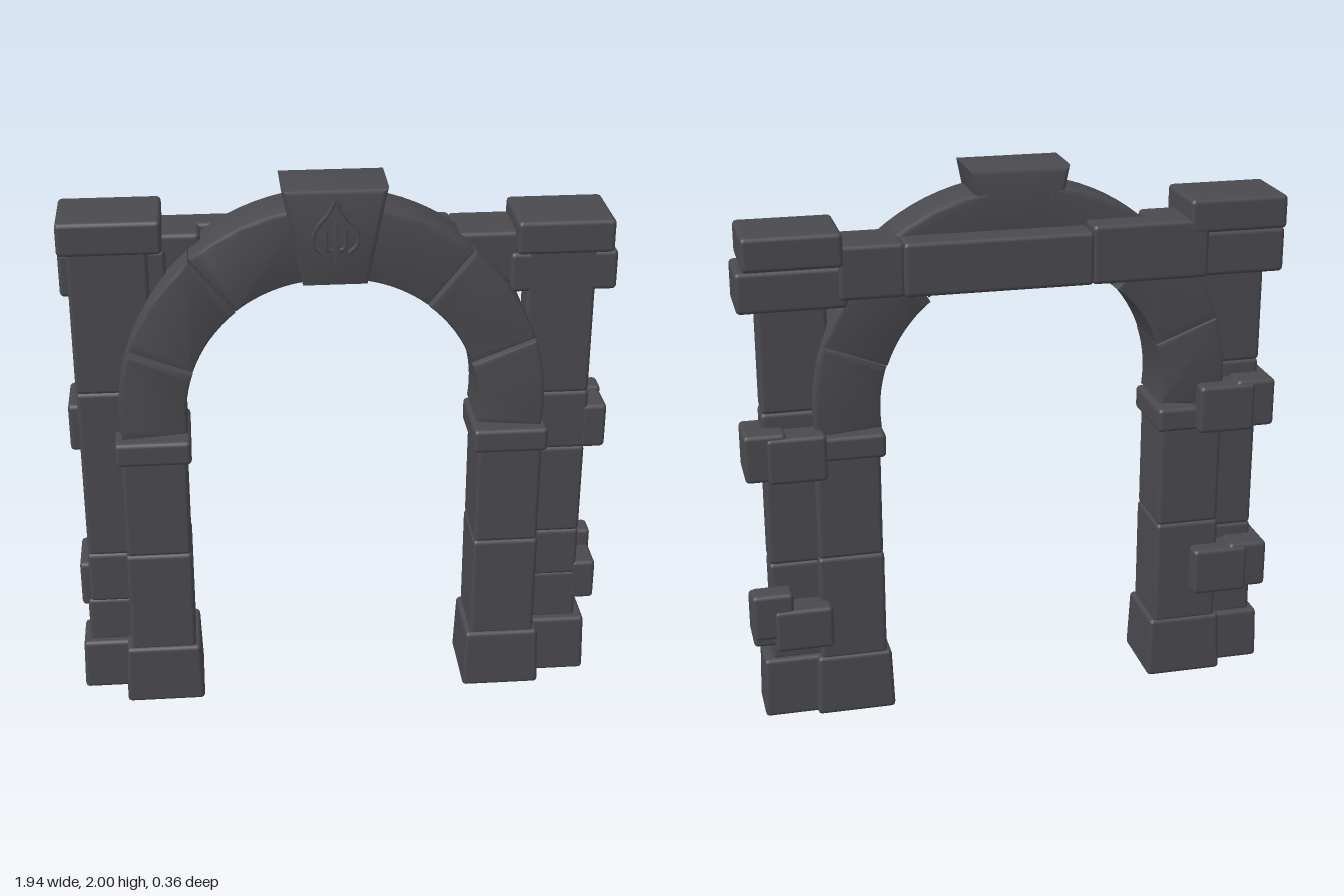
import * as THREE from 'three';
import { RoundedBoxGeometry } from 'three/addons/geometries/RoundedBoxGeometry.js';
import { toCreasedNormals } from 'three/addons/utils/BufferGeometryUtils.js';

export function createModel() {
  const model = new THREE.Group();
  model.name = 'stoneArchway';
  const stone = new THREE.MeshStandardMaterial({ color: 0x4a494e });
  stone.name = 'darkStone';

  function add(name, geometry) {
    const mesh = new THREE.Mesh(geometry, stone);
    mesh.name = name;
    model.add(mesh);
    return mesh;
  }

  // Soft-edged block given by its limits; flare widens the foot
  function block(name, x0, x1, y0, y1, z0, z1, flare = 0, r = 0.016) {
    const w = x1 - x0, h = y1 - y0, d = z1 - z0;
    const g = new RoundedBoxGeometry(w, h, d, 2, r);
    if (flare) {
      const p = g.attributes.position;
      for (let i = 0; i < p.count; i++) {
        const k = 1 - flare * (p.getY(i) / h + 0.5);
        p.setX(i, p.getX(i) * k);
        p.setZ(i, p.getZ(i) * k);
      }
    }
    add(name, g).position.set((x0 + x1) / 2, (y0 + y1) / 2, (z0 + z1) / 2);
  }

  // Bevelled plate cut from an outline in the front plane
  function cut(name, points, z0, z1, bevel = 0.014) {
    const g = new THREE.ExtrudeGeometry(new THREE.Shape(points), {
      depth: z1 - z0 - 2 * bevel, bevelEnabled: true, bevelThickness: bevel,
      bevelSize: bevel, bevelOffset: -bevel, bevelSegments: 2,
    });
    g.translate(0, 0, z0 + bevel);
    add(name, toCreasedNormals(g, 0.6));
  }

  // Inner piers: foot, two shaft stones and impost
  for (const [side, x0, x1] of [['right', -0.79, -0.55], ['left', 0.48, 0.72]]) {
    block(side + 'PierFoot', x0 - 0.025, x1 + 0.025, 0, 0.23, -0.11, 0.18, 0.06);
    block(side + 'PierLowerStone', x0, x1, 0.22, 0.625, -0.095, 0.16);
    block(side + 'PierUpperStone', x0 + 0.003, x1 - 0.003, 0.62, 1.01, -0.092, 0.157);
    block(side + 'Impost', x0 - 0.015, x1 + 0.012, 1.0, 1.09, -0.11, 0.18);
  }

  // Outer piers behind the inner ones
  const rightCourses = [[0.21, 0.39, -0.945], [0.38, 0.585, -0.935], [0.58, 1.24, -0.933], [1.235, 1.77, -0.935]];
  rightCourses.forEach(([y0, y1, x], i) => block('rightOuterCourse' + i, x, -0.66, y0, y1, -0.055, 0.066));
  const leftCourses = [[0.22, 0.42, 0.897], [0.41, 0.605, 0.892], [0.6, 0.955, 0.892], [0.95, 1.18, 0.895], [1.175, 1.73, 0.892]];
  leftCourses.forEach(([y0, y1, x], i) => block('leftOuterCourse' + i, 0.65, x, y0, y1, -0.055, 0.066));
  block('rightOuterFoot', -0.975, -0.7, 0.02, 0.22, -0.08, 0.1, 0.04);
  block('leftOuterFoot', 0.66, 0.935, 0, 0.23, -0.08, 0.1, 0.05);

  // Corner stones: an end block and a back block at each level
  const quoins = [
    ['right', -1, 1.0, 1.18, 1.01, 1.19], ['right', -1, 0.35, 0.53, 0.36, 0.54],
    ['left', 1, 0.95, 1.12, 0.96, 1.135], ['left', 1, 0.3, 0.46, 0.35, 0.525],
  ];
  for (const [side, s, a0, a1, b0, b1] of quoins) {
    const span = (p, q) => [Math.min(s * p, s * q), Math.max(s * p, s * q)];
    block(side + 'EndQuoin', ...span(0.82, 0.967), b0, b1, -0.15, s > 0 ? -0.06 : 0.055);
    if (s > 0) block(side + 'SideQuoin', ...span(0.875, 0.965), a0, a1, -0.1, 0.068);
    block(side + 'BackQuoin', ...span(0.68, 0.89), a0, a1, -0.157, -0.04);
  }

  // Upper corner stones and caps
  block('rightCapStone', -0.965, -0.61, 1.76, 1.88, -0.18, 0.09);
  block('leftCapStone', 0.605, 0.945, 1.72, 1.84, -0.18, 0.097);
  block('rightUpperQuoin', -0.965, -0.6, 1.6, 1.76, -0.165, 0.05);
  block('leftUpperQuoin', 0.59, 0.967, 1.57, 1.715, -0.15, 0.065);

  // Lintel across the back
  block('rightLintelStone', -0.68, -0.26, 1.6, 1.81, -0.178, -0.07);
  block('rightSpandrelStone', -0.68, -0.48, 1.6, 1.81, -0.1, 0.03);
  block('middleLintelStone', -0.265, 0.4, 1.6, 1.79, -0.18, -0.062);
  block('leftLintelStone', 0.395, 0.62, 1.6, 1.79, -0.168, 0.05);

  // Arch stones: three on each side of the keystone
  const cx = -0.035, cy = 1.15;
  const inner = a => 0.515 + 0.012 * Math.sin(2 * a);
  const outer = a => 0.75 + 0.035 * Math.sin(a);
  const stones = [[-4.5, 20.8, -0.1, 0.153], [21.2, 50.8, -0.112, 0.143], [51.2, 83, -0.07, 0.135]];
  for (const s of [-1, 1]) {
    stones.forEach(([from, to, z0, z1], n) => {
      const points = [], steps = 8;
      for (let i = 0; i <= 2 * steps + 1; i++) {
        const isOuter = i <= steps;
        const t = (isOuter ? i : 2 * steps + 1 - i) / steps;
        const a = THREE.MathUtils.degToRad(from + (to - from) * t);
        const r = isOuter ? outer(a) : inner(a);
        points.push(new THREE.Vector2(cx + s * r * Math.cos(a), cy + r * Math.sin(a)));
      }
      if (s < 0) points.reverse();
      cut((s < 0 ? 'right' : 'left') + 'ArchStone' + n, points, z0, z1);
    });
  }

  // Keystone
  const v = (x, y) => new THREE.Vector2(x, y);
  cut('keystone', [v(-0.137, 1.655), v(0.083, 1.655), v(0.152, 2), v(-0.208, 2)], -0.068, 0.16, 0.018);

  // Carved relief: pointed leaf outline with three prongs
  const kx = -0.027, z = 0.159;
  for (const s of [-1, 1]) {
    const curve = new THREE.CatmullRomCurve3([
      [0, 1.965], [0.022, 1.92], [0.068, 1.86], [0.075, 1.81], [0.045, 1.775],
    ].map(([x, y]) => new THREE.Vector3(kx + s * x, y, z)));
    add('reliefLeafEdge', new THREE.TubeGeometry(curve, 16, 0.008, 6));
    const prong = new THREE.CatmullRomCurve3([
      [0, 1.785], [0.026, 1.79], [0.035, 1.82], [0.033, 1.855],
    ].map(([x, y]) => new THREE.Vector3(kx + s * x, y, z)));
    add('reliefSideProng', new THREE.TubeGeometry(prong, 12, 0.008, 6));
  }
  cut('reliefMiddleProng', [v(kx, 1.71), v(kx + 0.012, 1.78), v(kx + 0.009, 1.85), v(kx, 1.89),
    v(kx - 0.009, 1.85), v(kx - 0.012, 1.78)], 0.157, 0.166, 0.002);

  return model;
}
